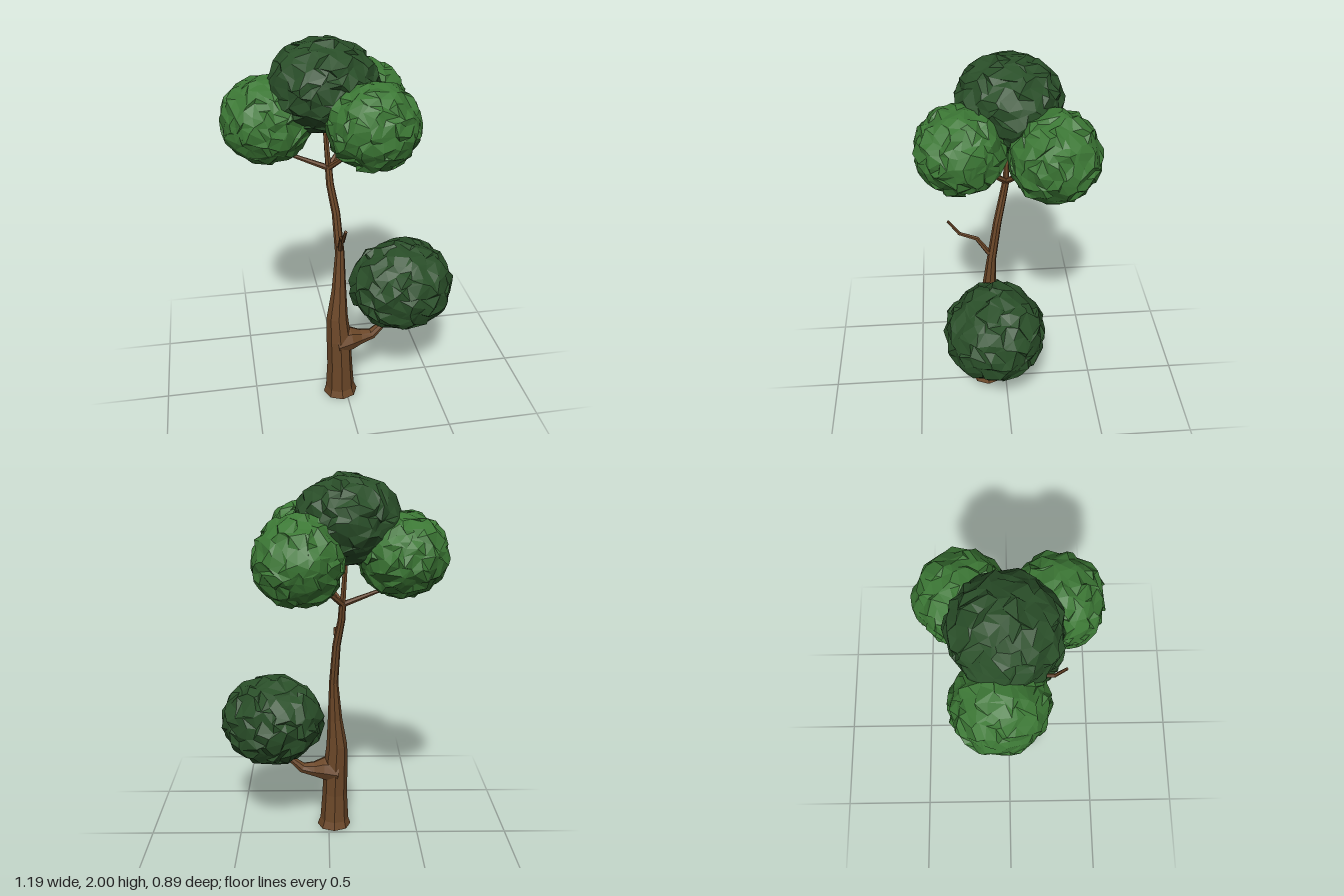
import * as THREE from 'three';

const bark = new THREE.MeshStandardMaterial({ color: 0x6b4728, flatShading: true });
const lightLeaf = new THREE.MeshStandardMaterial({ color: 0x3c7835, flatShading: true });
const darkLeaf = new THREE.MeshStandardMaterial({ color: 0x2a4f29, flatShading: true });

// Tapered faceted limb through rings of [x, y, z, radius]
function limb(name, rings, sides) {
  const last = rings.length - 1;
  const centers = rings.map(([x, y, z]) => new THREE.Vector3(x, y, z));
  const up = new THREE.Vector3(0, 1, 0);
  const turns = centers.map((c, i) => {
    const dir = centers[Math.min(i + 1, last)].clone().sub(centers[Math.max(i - 1, 0)]).normalize();
    return new THREE.Quaternion().setFromUnitVectors(up, dir);
  });
  if (name === 'trunk') turns[0].identity(); // flat on the ground
  const geo = new THREE.CylinderGeometry(1, 1, 1, sides, last);
  const pos = geo.attributes.position;
  const v = new THREE.Vector3();
  for (let i = 0; i < pos.count; i++) {
    v.fromBufferAttribute(pos, i);
    const k = Math.round((v.y + 0.5) * last);
    v.setY(0).multiplyScalar(rings[k][3]).applyQuaternion(turns[k]).add(centers[k]);
    pos.setXYZ(i, v.x, v.y, v.z);
  }
  geo.computeVertexNormals();
  const mesh = new THREE.Mesh(geo, bark);
  mesh.name = name;
  return mesh;
}

function seeded(seed) {
  let s = seed * 7919 + 17;
  return () => (s = (s * 16807) % 2147483647) / 2147483647;
}

// Crumpled leaf clump: icosphere whose shared corners are shifted together
function clump(name, center, radii, material, seed) {
  const geo = new THREE.IcosahedronGeometry(1, 5);
  const pos = geo.attributes.position;
  const rand = seeded(seed);
  const moved = new Map();
  const v = new THREE.Vector3();
  for (let i = 0; i < pos.count; i++) {
    v.fromBufferAttribute(pos, i);
    const key = v.toArray().map((n) => Math.round(n * 1000)).join();
    if (!moved.has(key)) {
      const shift = new THREE.Vector3(rand() - 0.5, rand() - 0.5, rand() - 0.5).multiplyScalar(0.2);
      moved.set(key, v.clone().add(shift).normalize().multiplyScalar(0.9 + 0.12 * rand()));
    }
    const p = moved.get(key);
    pos.setXYZ(i, p.x * radii[0], p.y * radii[1], p.z * radii[2]);
  }
  geo.computeVertexNormals();
  const mesh = new THREE.Mesh(geo, material);
  mesh.position.set(...center);
  mesh.name = name;
  return mesh;
}

export function createModel() {
  const tree = new THREE.Group();
  tree.name = 'tree';

  // Trunk, leaning back toward the crown
  tree.add(limb('trunk', [
    [-0.03, 0, 0.105, 0.095], [-0.032, 0.04, 0.105, 0.08], [-0.034, 0.2, 0.11, 0.07],
    [-0.038, 0.36, 0.108, 0.068], [-0.045, 0.5, 0.1, 0.058], [-0.034, 0.66, 0.09, 0.04],
    [-0.026, 0.88, 0.073, 0.025], [-0.04, 1.1, 0.04, 0.022], [-0.065, 1.25, 0.008, 0.02],
    [-0.07, 1.35, -0.01, 0.018],
  ], 8));

  // Thick lower branch
  tree.add(limb('lowerBranch', [
    [-0.05, 0.34, 0.108, 0.075], [0.03, 0.352, 0.105, 0.066], [0.085, 0.35, 0.1, 0.043],
    [0.15, 0.36, 0.097, 0.03], [0.21, 0.415, 0.092, 0.02], [0.27, 0.52, 0.085, 0.014],
  ], 8));

  // Bare twig
  tree.add(limb('bareTwig', [
    [-0.025, 0.89, 0.07, 0.016], [-0.03, 1.01, 0.15, 0.012],
    [-0.04, 1.04, 0.24, 0.01], [-0.035, 1.125, 0.297, 0.008],
  ], 6));

  // Crown branches fanning from the top of the trunk
  const fork = [-0.07, 1.335, -0.008, 0.016];
  const tips = {
    leftwardTip: [-0.3, 1.43, -0.03, 0.008],
    frontTip: [0.06, 1.49, 0.13, 0.009],
    backTip: [0.08, 1.49, -0.14, 0.009],
    topTip: [-0.09, 1.65, -0.02, 0.011],
  };
  for (const [name, tip] of Object.entries(tips)) tree.add(limb(name, [fork, tip], 6));

  // Foliage
  tree.add(
    clump('topFoliage', [-0.09, 1.77, -0.02], [0.28, 0.232, 0.272], darkLeaf, 1),
    clump('rightFoliage', [-0.37, 1.6, -0.045], [0.232, 0.222, 0.236], lightLeaf, 2),
    clump('frontFoliage', [0.11, 1.63, 0.22], [0.235, 0.22, 0.226], lightLeaf, 3),
    clump('backFoliage', [0.15, 1.6, -0.22], [0.23, 0.232, 0.23], lightLeaf, 4),
    clump('lowerFoliage', [0.31, 0.66, 0.08], [0.285, 0.252, 0.266], darkLeaf, 5),
  );
  return tree;
}
